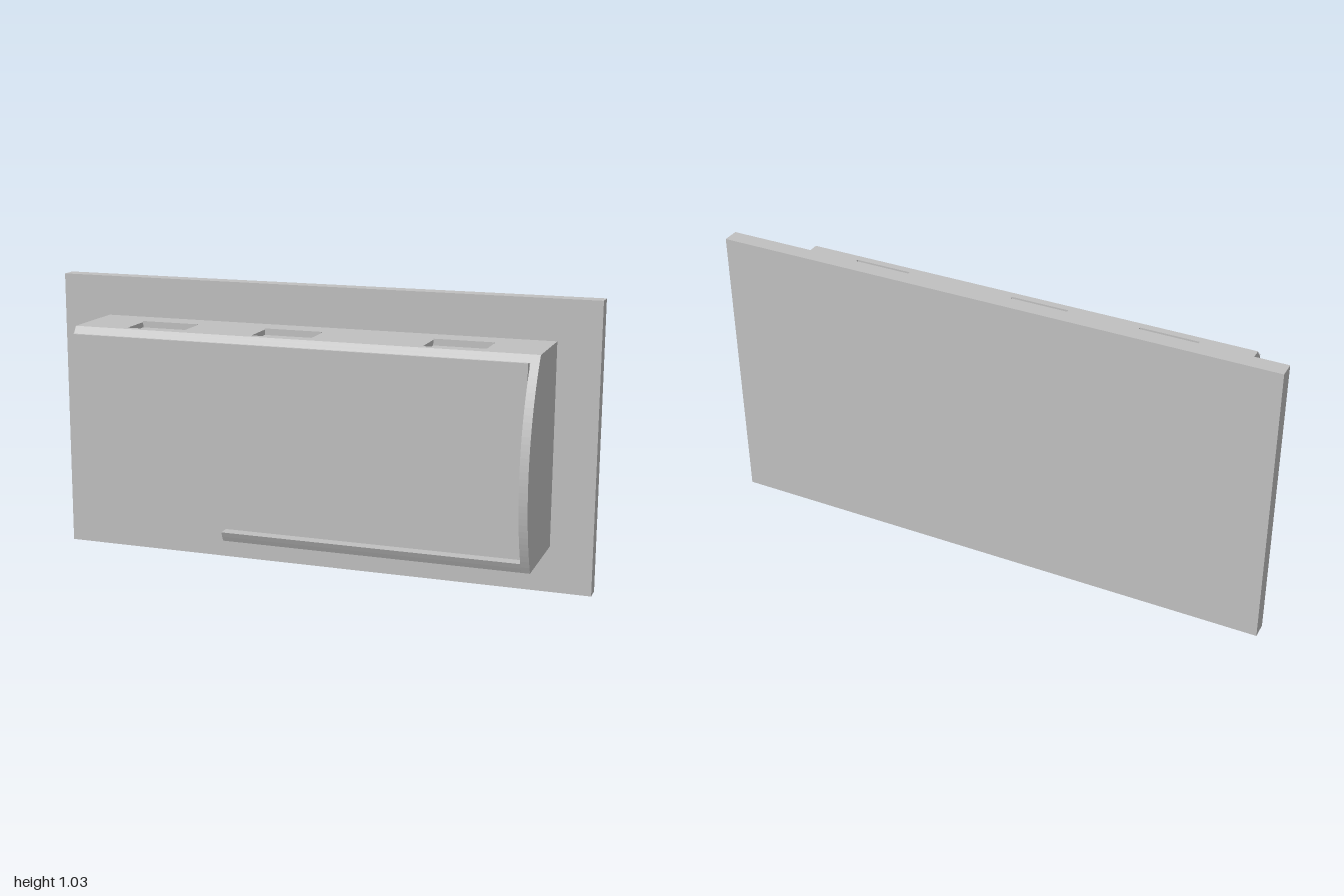
import * as THREE from 'three';

const BACK = -0.17;                 // front face of the wall plate
const BOTTOM = 0.165, TOP = 0.885;  // outer height of the housing
const SLOT_BACK = -0.06, SLOT_FRONT = 0.07;

// depth of the bulging front at height y
const bulge = (y) => -0.462 + Math.sqrt(0.69 ** 2 - (y - 0.48) ** 2);

export function createModel() {
  const group = new THREE.Group();
  const grey = new THREE.MeshStandardMaterial({ color: 0xc0c0c0 });

  const add = (name, geometry) => {
    const mesh = new THREE.Mesh(geometry, grey);
    mesh.name = name;
    group.add(mesh);
  };

  const box = (name, x0, x1, y0, y1, z0, z1) => add(name,
    new THREE.BoxGeometry(x1 - x0, y1 - y0, z1 - z0)
      .translate((x0 + x1) / 2, (y0 + y1) / 2, (z0 + z1) / 2));

  // side profile from z0 forward to the bulge, extruded along x
  const profile = (name, x0, x1, y0, y1, z0, steps) => {
    const points = [new THREE.Vector2(-z0, y0), new THREE.Vector2(-z0, y1)];
    for (let i = steps; i >= 0; i--) {
      const y = y0 + (y1 - y0) * i / steps;
      points.push(new THREE.Vector2(-bulge(y), y));
    }
    add(name, new THREE.ExtrudeGeometry(new THREE.Shape(points),
      { depth: x1 - x0, bevelEnabled: false }).rotateY(Math.PI / 2).translate(x0, 0, 0));
  };

  // rectangle in plan view
  const rect = (Type, x0, x1, z0, z1) => new Type([
    new THREE.Vector2(x0, -z1), new THREE.Vector2(x1, -z1),
    new THREE.Vector2(x1, -z0), new THREE.Vector2(x0, -z0)]);

  // horizontal board with slots cut through it
  const board = (name, x0, x1, y0, y1, z1, slots) => {
    const shape = rect(THREE.Shape, x0, x1, BACK, z1);
    for (const [a, b] of slots) shape.holes.push(rect(THREE.Path, a, b, SLOT_BACK, SLOT_FRONT));
    add(name, new THREE.ExtrudeGeometry(shape, { depth: y1 - y0, bevelEnabled: false })
      .rotateX(-Math.PI / 2).translate(0, y0, 0));
  };

  // wall plate
  box('wallPlate', -1, 1, 0, 1.03, -0.228, BACK);

  // curved end wall, only on the left; the other end is open
  profile('endWall', 0.82, 0.85, BOTTOM, TOP, BACK, 32);

  // flat front panel
  box('frontPanel', -0.82, 0.815, 0.185, 0.86, 0.1, 0.125);

  // top board with three shallow recesses and a sloped front edge
  const topSlots = [[-0.63, -0.42], [-0.16, 0.05], [0.45, 0.66]];
  board('topBoard', -0.82, 0.82, 0.86, TOP, 0.09, topSlots);
  profile('topEdge', -0.82, 0.82, 0.86, TOP, 0.09, 2);
  for (const [a, b] of topSlots) {
    box('recessFloor', a, b, 0.86, 0.866, SLOT_BACK, SLOT_FRONT);
    box('recessRim', a, b, 0.866, TOP + 0.004, SLOT_BACK - 0.003, SLOT_BACK + 0.003);
  }

  // shorter bottom board with one opening and a closed flap
  board('bottomBoard', -0.24, 0.82, BOTTOM, 0.2, 0.14, [[0.45, 0.66]]);
  profile('bottomEdge', -0.24, 0.82, BOTTOM, 0.2, 0.14, 2);
  box('openingCover', 0.45, 0.66, 0.194, 0.2, SLOT_BACK, SLOT_FRONT);
  box('flapRim', -0.09, 0.125, BOTTOM - 0.004, BOTTOM + 0.01, SLOT_BACK - 0.003, SLOT_BACK + 0.003);

  return group;
}
